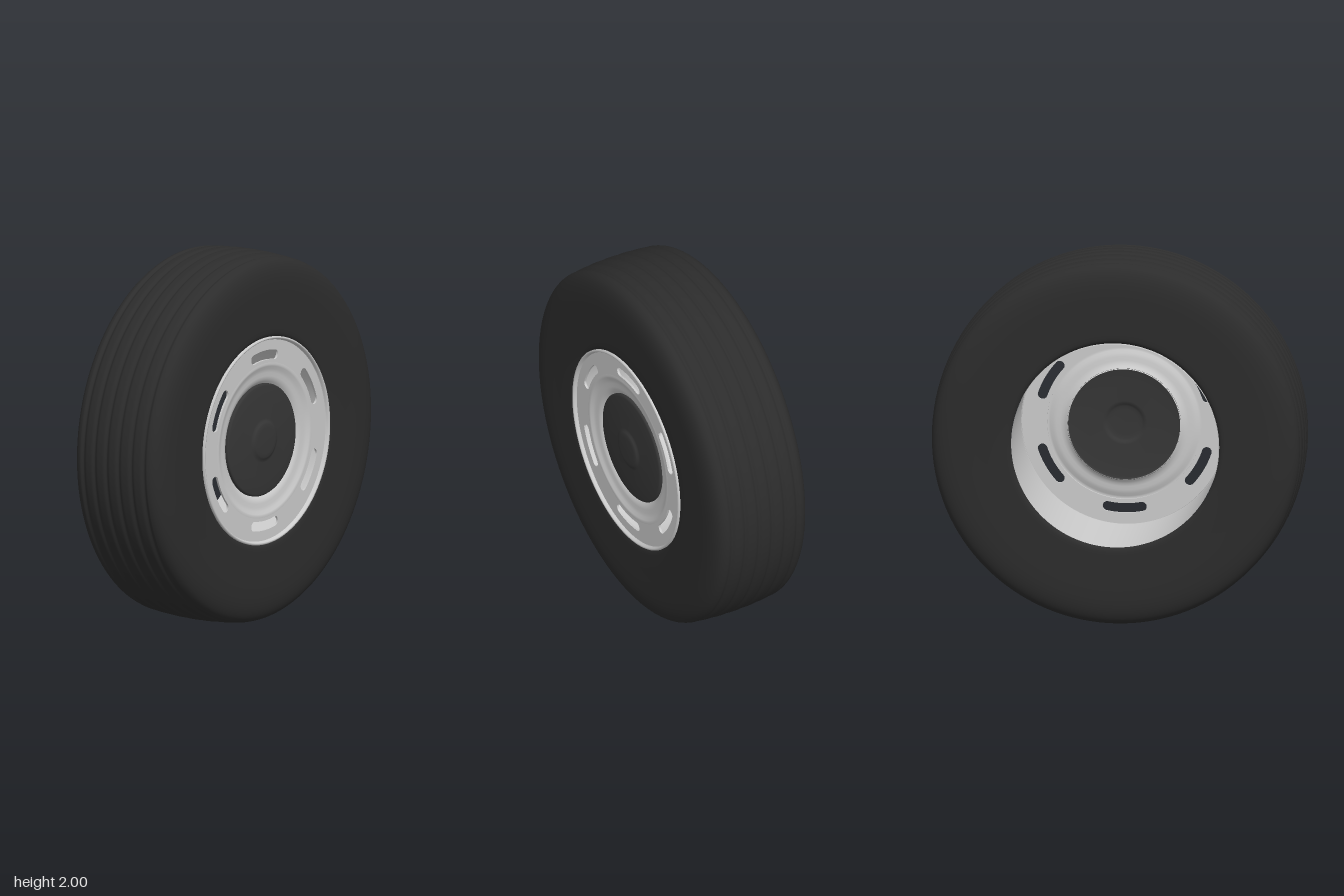
import * as THREE from 'three';

const SEGMENTS = 128;

// Revolve [radius, x] points about the wheel axle (the x axis).
function revolve(points, material, name) {
  const geometry = new THREE.LatheGeometry(points.map(([r, x]) => new THREE.Vector2(r, x)), SEGMENTS);
  geometry.rotateZ(-Math.PI / 2);
  const mesh = new THREE.Mesh(geometry, material);
  mesh.name = name;
  return mesh;
}

// Tyre section: half a sidewall mirrored, joined by a grooved tread.
function tyreProfile() {
  const bead = new THREE.SplineCurve([
    [0.558, 0.27], [0.575, 0.283], [0.62, 0.287], [0.72, 0.289], [0.84, 0.29],
    [0.91, 0.282], [0.955, 0.265], [0.978, 0.242], [0.986, 0.22],
  ].map(([r, x]) => new THREE.Vector2(r, x)));
  const side = bead.getPoints(32).map((p) => [p.x, p.y]);
  const tread = [];
  for (let i = 1; i < 80; i++) {
    const x = -0.22 + (0.44 * i) / 80;
    let r = 1 - 0.014 * (x / 0.22) ** 2;
    for (const g of [0.04, 0.122, 0.2]) r -= 0.01 * Math.exp(-(((Math.abs(x) - g) / 0.012) ** 2));
    tread.push([r, x]);
  }
  const left = side.map(([r, x]) => [r, -x]);
  return [...left, ...tread, ...side.reverse()];
}

// Curved slot with round ends, centred on the given angle.
function slot(angle) {
  const radius = 0.464, half = 0.026, spread = 0.2;
  const a0 = angle - spread, a1 = angle + spread;
  const path = new THREE.Path();
  path.absarc(0, 0, radius + half, a0, a1, false);
  path.absarc(radius * Math.cos(a1), radius * Math.sin(a1), half, a1, a1 + Math.PI, false);
  path.absarc(0, 0, radius - half, a1, a0, true);
  path.absarc(radius * Math.cos(a0), radius * Math.sin(a0), half, a0 + Math.PI, a0 + 2 * Math.PI, false);
  return path;
}

export function createModel() {
  const group = new THREE.Group();
  group.name = 'wheel';
  const rubber = new THREE.MeshStandardMaterial({ color: 0x2c2c2c });
  const metal = new THREE.MeshStandardMaterial({ color: 0xcccccc, side: THREE.DoubleSide });
  const plastic = new THREE.MeshStandardMaterial({ color: 0x363636, side: THREE.DoubleSide });

  group.add(revolve(tyreProfile(), rubber, 'tyre'));

  // Open barrel and the rolled lip on the outer side
  group.add(revolve([[0.556, -0.283], [0.556, 0.275]], metal, 'rimBarrel'));
  group.add(revolve([
    [0.562, 0.272], [0.563, 0.284], [0.558, 0.29], [0.551, 0.288],
    [0.547, 0.278], [0.543, 0.266], [0.538, 0.266],
  ], metal, 'rimLip'));

  // Flat face ring with six slots
  const face = new THREE.Shape();
  face.absarc(0, 0, 0.55, 0, Math.PI * 2, false);
  const opening = new THREE.Path();
  opening.absarc(0, 0, 0.415, 0, Math.PI * 2, true);
  face.holes.push(opening);
  for (let i = 0; i < 6; i++) face.holes.push(slot(Math.PI / 6 + (i * Math.PI) / 3));
  const faceGeometry = new THREE.ExtrudeGeometry(face, { depth: 0.012, bevelEnabled: false, curveSegments: 48 });
  faceGeometry.rotateY(Math.PI / 2).translate(0.258, 0, 0);
  const rimFace = new THREE.Mesh(faceGeometry, metal);
  rimFace.name = 'rimFace';
  group.add(rimFace);

  // Dished step leading down to the hub
  group.add(revolve([
    [0.42, 0.27], [0.41, 0.271], [0.4, 0.269], [0.385, 0.261], [0.365, 0.256],
    [0.345, 0.255], [0.328, 0.251], [0.315, 0.243], [0.3, 0.232],
  ], metal, 'rimDish'));

  // Domed hub cap with a raised centre button
  group.add(revolve([
    [0.305, 0.23], [0.305, 0.246], [0.302, 0.251], [0.294, 0.254], [0.25, 0.259], [0.2, 0.263],
    [0.12, 0.267], [0.108, 0.269], [0.1, 0.275], [0.09, 0.279], [0.07, 0.281], [0, 0.282],
  ], plastic, 'hubCap'));

  group.position.y = 1;
  return group;
}
